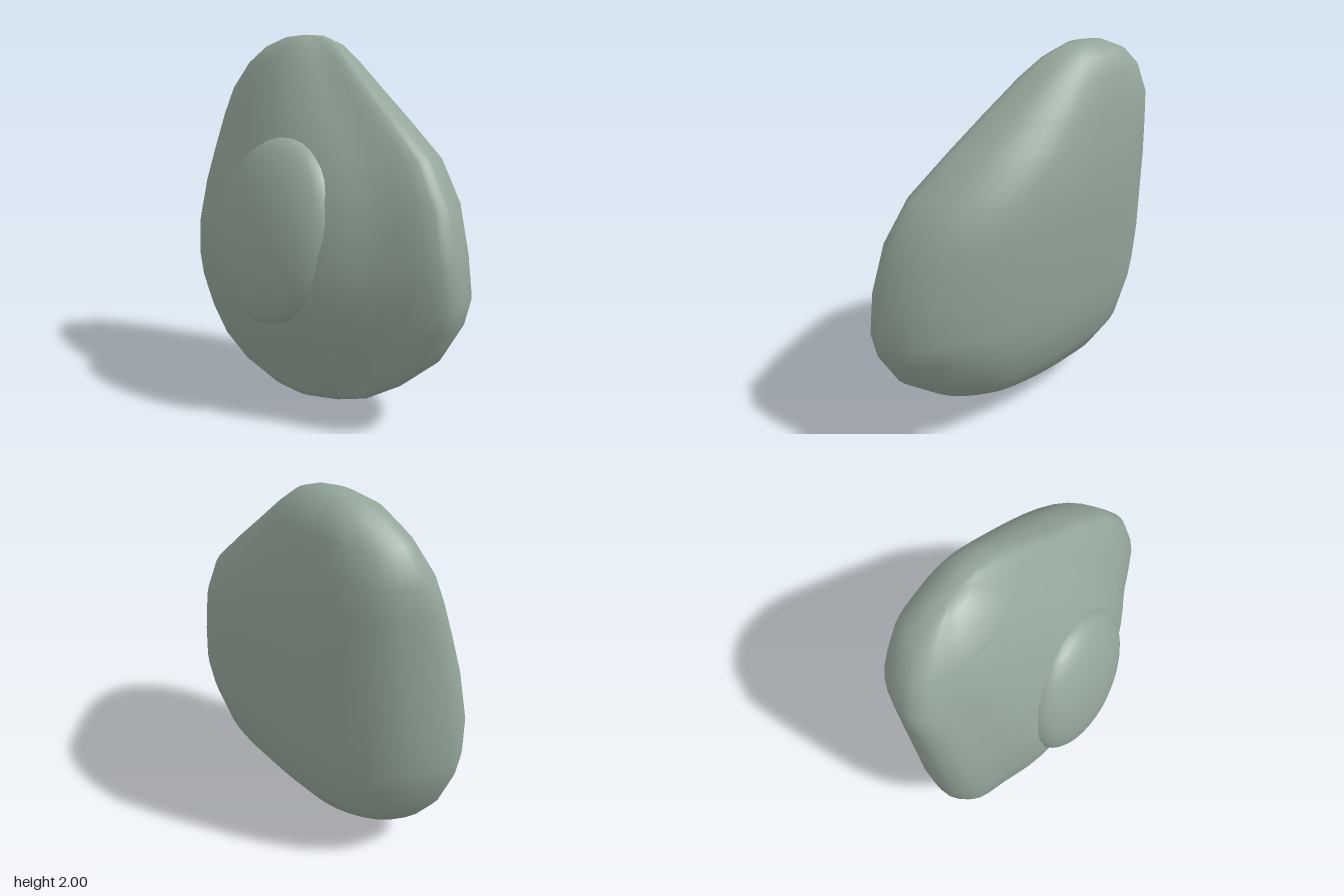
import * as THREE from 'three';

// Cross-sections: y, front z, back z, front-tip x, back-tip x, left-edge x (min), right-edge x (max)
const SECTIONS = [
  [0.01, 0.10, -0.20, -0.06, -0.05, -0.12, 0.01],
  [0.04, 0.22, -0.36, -0.08, -0.04, -0.16, 0.09],
  [0.10, 0.40, -0.55, -0.09, -0.03, -0.19, 0.17],
  [0.22, 0.60, -0.73, -0.08, -0.01, -0.24, 0.30],
  [0.38, 0.79, -0.84, -0.07, 0.01, -0.31, 0.40],
  [0.57, 0.90, -0.91, -0.06, 0.02, -0.38, 0.44],
  [0.70, 0.93, -0.93, -0.05, 0.02, -0.40, 0.455],
  [0.90, 0.90, -0.93, -0.05, 0.03, -0.40, 0.47],
  [1.15, 0.83, -0.90, -0.03, 0.06, -0.34, 0.48],
  [1.36, 0.70, -0.87, 0.00, 0.10, -0.25, 0.48],
  [1.55, 0.47, -0.84, 0.05, 0.14, -0.16, 0.46],
  [1.70, 0.28, -0.81, 0.09, 0.18, -0.08, 0.44],
  [1.85, 0.09, -0.71, 0.14, 0.21, 0.00, 0.405],
  [1.94, -0.04, -0.59, 0.18, 0.22, 0.07, 0.36],
  [1.99, -0.17, -0.45, 0.20, 0.22, 0.15, 0.28],
];

// Fullness of the two broad sides: position from front (1) to back (-1), fraction of full width
const RIGHT = [[0.92, 0.4], [0.65, 0.77], [0.3, 0.94], [-0.1, 1], [-0.5, 0.97], [-0.84, 0.62]];
const LEFT = [[-0.94, 0.35], [-0.76, 0.56], [-0.5, 0.82], [0, 1], [0.36, 0.9], [0.65, 0.6], [0.95, 0.28]];
const SEGMENTS = 48;

// One closed, smoothly rounded outline at a given height
function sectionPoints([y, zf, zb, xf, xb, xl, xr]) {
  const at = (s, f, edge) => {
    const mid = THREE.MathUtils.lerp(xb, xf, (s + 1) / 2);
    return new THREE.Vector3(mid + (edge - mid) * f, y, THREE.MathUtils.lerp(zb, zf, (s + 1) / 2));
  };
  const control = [
    at(1, 0, xr), ...RIGHT.map(([s, f]) => at(s, f, xr)),
    at(-1, 0, xr), ...LEFT.map(([s, f]) => at(s, f, xl)),
  ];
  return new THREE.CatmullRomCurve3(control, true, 'centripetal').getPoints(SEGMENTS).slice(0, SEGMENTS);
}

// Skin the stacked outlines and close both ends
function stoneGeometry() {
  const points = SECTIONS.flatMap(sectionPoints);
  const index = [];
  const last = (SECTIONS.length - 1) * SEGMENTS;
  const bottom = points.length, top = bottom + 1;
  points.push(new THREE.Vector3(-0.055, 0, -0.05), new THREE.Vector3(0.21, 2, -0.31));
  for (let k = 0; k < SEGMENTS; k++) {
    const n = (k + 1) % SEGMENTS;
    for (let row = 0; row < last; row += SEGMENTS) {
      const a = row + k, b = row + n, c = b + SEGMENTS, d = a + SEGMENTS;
      index.push(a, b, c, a, c, d);
    }
    index.push(n, k, bottom, last + k, last + n, top);
  }
  const geometry = new THREE.BufferGeometry().setFromPoints(points);
  geometry.setIndex(index);
  geometry.computeVertexNormals();
  return geometry;
}

export function createModel() {
  const group = new THREE.Group();
  group.name = 'rock';
  const stone = new THREE.MeshStandardMaterial({ color: 0x93a599 });
  stone.name = 'grey green stone';

  const body = new THREE.Mesh(stoneGeometry(), stone);
  body.name = 'stoneBody';

  // Rounded lump leaning against the sloping side
  const lump = new THREE.Mesh(new THREE.SphereGeometry(1, 32, 20), stone);
  lump.name = 'sideLump';
  lump.scale.set(0.17, 0.49, 0.4);
  lump.rotation.z = -0.2;
  lump.position.set(-0.29, 0.97, -0.07);

  group.add(body, lump);
  return group;
}
